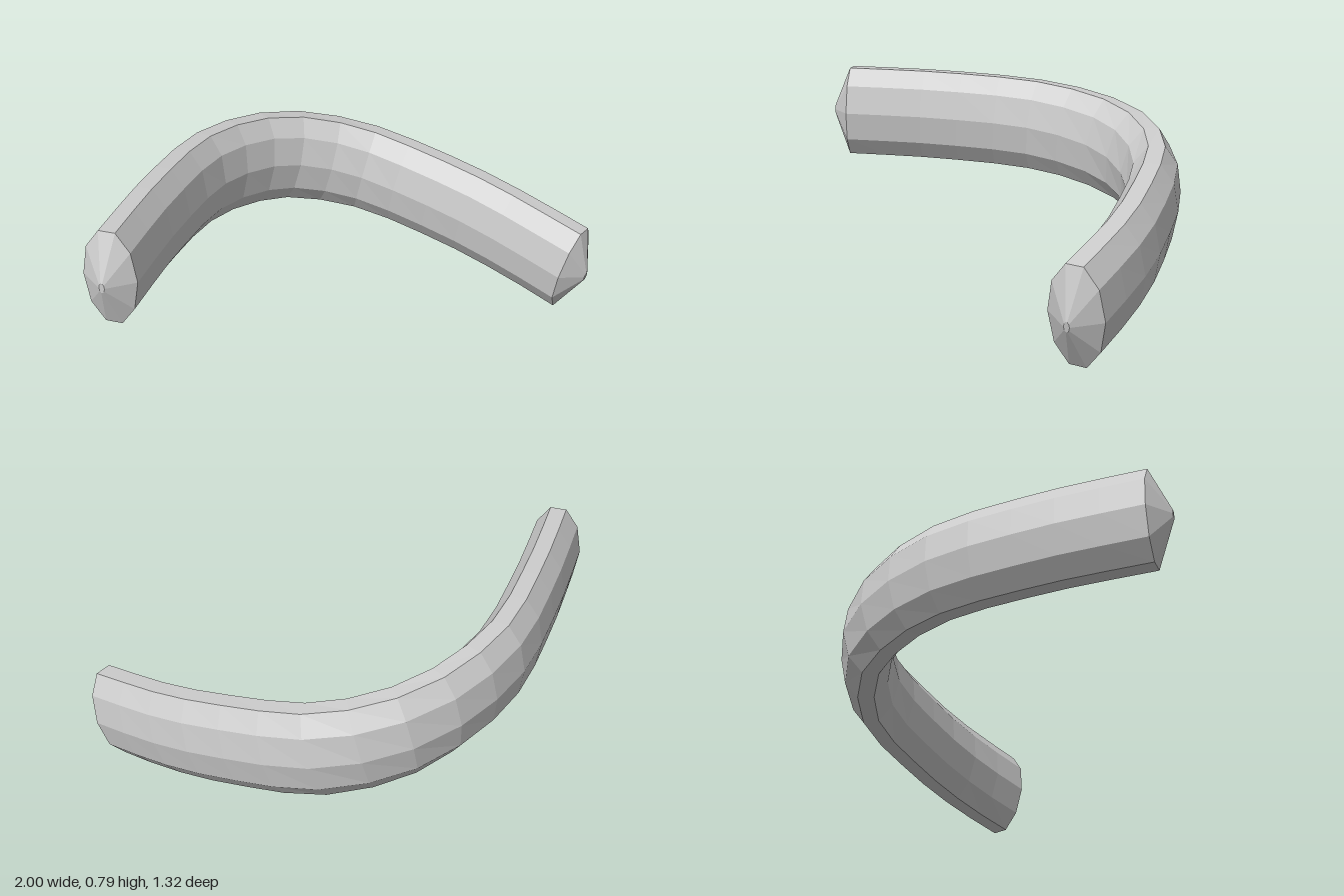
import * as THREE from 'three';

const SIDES = 10, STEPS = 16;
const HALF_W = 0.108, HALF_H = 0.205;
const TIP = 0.075, TIP_SCALE = 0.1;

// Centre line of the bar, from the high end to the low end
const path = new THREE.CatmullRomCurve3([
  [-0.93, 0.595, -0.065], [-0.6, 0.585, -0.285], [-0.2, 0.558, -0.505],
  [0.06, 0.525, -0.555], [0.28, 0.485, -0.53], [0.53, 0.415, -0.365],
  [0.73, 0.325, 0], [0.83, 0.26, 0.28], [0.9, 0.197, 0.58],
].map((p) => new THREE.Vector3(...p)), false, 'centripetal');

// Upright ten-sided oval across the path, shifted along it for the tips
function ring(u, scale = 1, shift = 0) {
  const t = path.getTangentAt(u);
  const centre = path.getPointAt(u).addScaledVector(t, shift);
  const side = new THREE.Vector3().crossVectors(t, new THREE.Vector3(0, 1, 0)).normalize();
  const up = new THREE.Vector3().crossVectors(side, t);
  side.applyAxisAngle(t, -0.05 * u);
  up.applyAxisAngle(t, -0.05 * u);
  const points = [];
  for (let j = 0; j < SIDES; j++) {
    const a = (j / SIDES) * Math.PI * 2;
    points.push(centre.clone()
      .addScaledVector(side, Math.cos(a) * HALF_W * scale)
      .addScaledVector(up, Math.sin(a) * HALF_H * scale));
  }
  return { centre, points };
}

function sweep() {
  const rings = [ring(0, TIP_SCALE, -TIP)];
  for (let i = 0; i <= STEPS; i++) rings.push(ring(i / STEPS));
  rings.push(ring(1, TIP_SCALE, TIP));

  const positions = [], index = [];
  const add = (v) => positions.push(v.x, v.y, v.z);
  rings.forEach((r) => r.points.forEach(add));
  const first = rings.length * SIDES, last = first + 1;
  add(rings[0].centre);
  add(rings[rings.length - 1].centre);

  const end = (rings.length - 1) * SIDES;
  for (let j = 0; j < SIDES; j++) {
    const k = (j + 1) % SIDES;
    for (let i = 0; i < rings.length - 1; i++) {
      const a = i * SIDES, b = a + SIDES;
      index.push(a + j, b + j, a + k, a + k, b + j, b + k);
    }
    // Small flats closing the two tips
    index.push(first, j, k, last, end + k, end + j);
  }
  const geometry = new THREE.BufferGeometry();
  geometry.setAttribute('position', new THREE.Float32BufferAttribute(positions, 3));
  geometry.setIndex(index);
  const faceted = geometry.toNonIndexed();
  faceted.computeVertexNormals();
  return faceted;
}

export function createModel() {
  const group = new THREE.Group();
  group.name = 'curvedBar';
  const bar = new THREE.Mesh(sweep(),
    new THREE.MeshStandardMaterial({ color: 0xcccccc, flatShading: true }));
  bar.name = 'bentBarWithPointedEnds';
  group.add(bar);
  return group;
}
